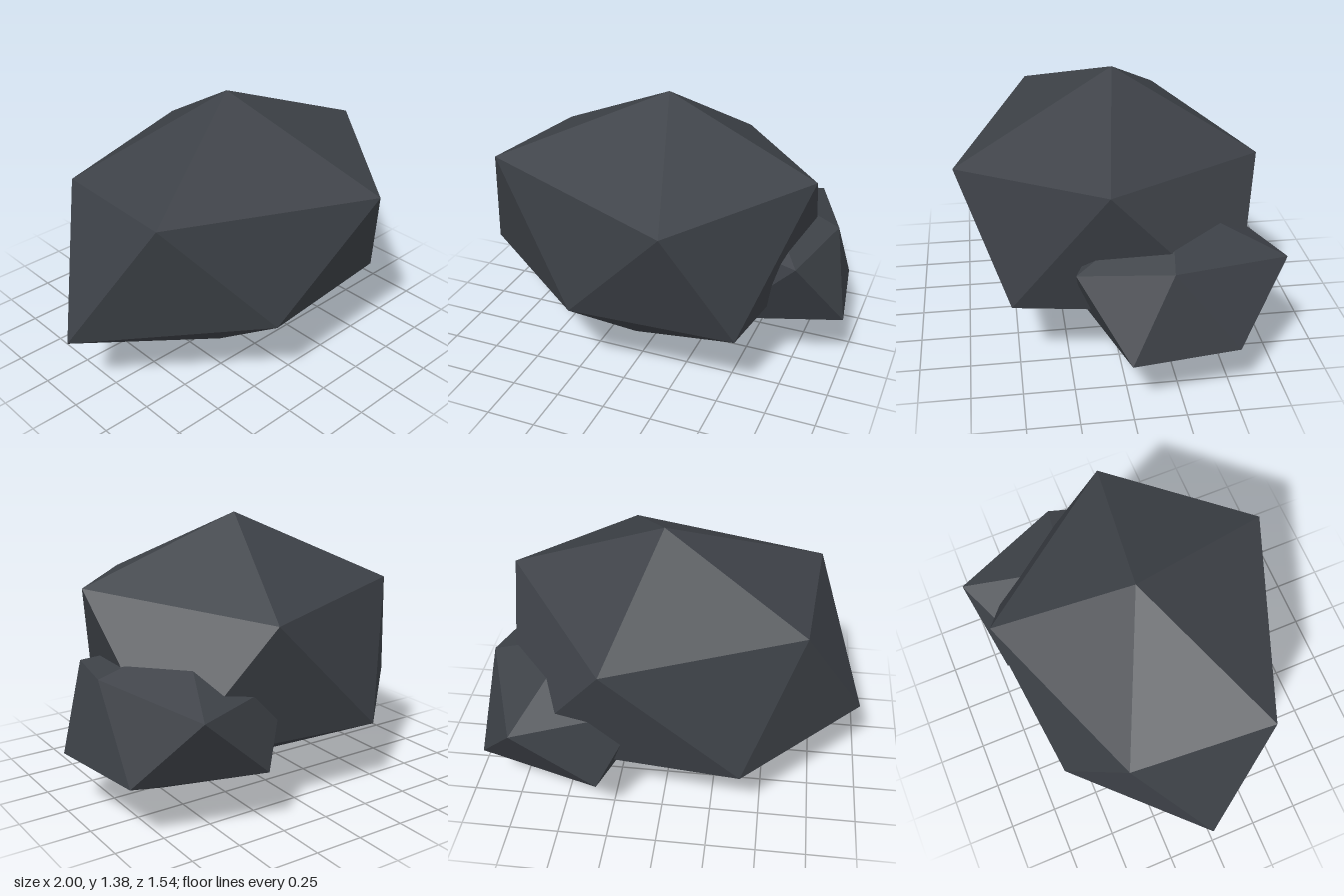
import * as THREE from 'three';

// Faceted stone: a distorted icosahedron made of a top point, two rings of five and a bottom point.
// Rings run anticlockwise seen from above; lower[i] sits between upper[i] and upper[i + 1].
function stone(name, material, top, upper, lower, bottom) {
  const positions = [];
  const face = (...corners) => corners.forEach((p) => positions.push(...p));
  for (let i = 0; i < 5; i++) {
    const j = (i + 1) % 5;
    face(top, upper[i], upper[j]);
    face(upper[i], lower[i], upper[j]);
    face(lower[i], lower[j], upper[j]);
    face(bottom, lower[j], lower[i]);
  }
  const geometry = new THREE.BufferGeometry();
  geometry.setAttribute('position', new THREE.Float32BufferAttribute(positions, 3));
  geometry.computeVertexNormals(); // unshared corners give flat facets
  const mesh = new THREE.Mesh(geometry, material);
  mesh.name = name;
  return mesh;
}

export function createModel() {
  const group = new THREE.Group();
  group.name = 'rockCluster';
  const slate = new THREE.MeshStandardMaterial({ color: 0x3d4147 });
  slate.name = 'dark slate';

  // Main boulder
  group.add(stone('largeRock', slate,
    [0.04, 1.38, -0.02],
    [[-0.74, 1.06, 0.37], [0.30, 1.00, 0.77], [0.83, 1.07, 0.09], [0.26, 0.98, -0.71], [-0.68, 1.02, -0.35]],
    [[-0.23, 0.43, 0.63], [0.59, 0.39, 0.53], [0.73, 0.37, -0.53], [-0.40, 0.35, -0.62], [-1.00, 0.37, -0.02]],
    [-0.11, 0, 0.09]));

  // Smaller stone pushed into its side
  group.add(stone('smallRock', slate,
    [0.47, 0.86, -0.25],
    [[0.79, 0.67, 0.24], [0.90, 0.71, -0.19], [0.69, 0.635, -0.77], [0.10, 0.65, -0.53], [0.17, 0.66, -0.01]],
    [[1.00, 0.30, 0.01], [0.92, 0.29, -0.51], [0.30, 0.29, -0.70], [0.19, 0.27, -0.34], [0.41, 0.275, 0.18]],
    [0.62, 0.13, -0.27]));

  return group;
}
